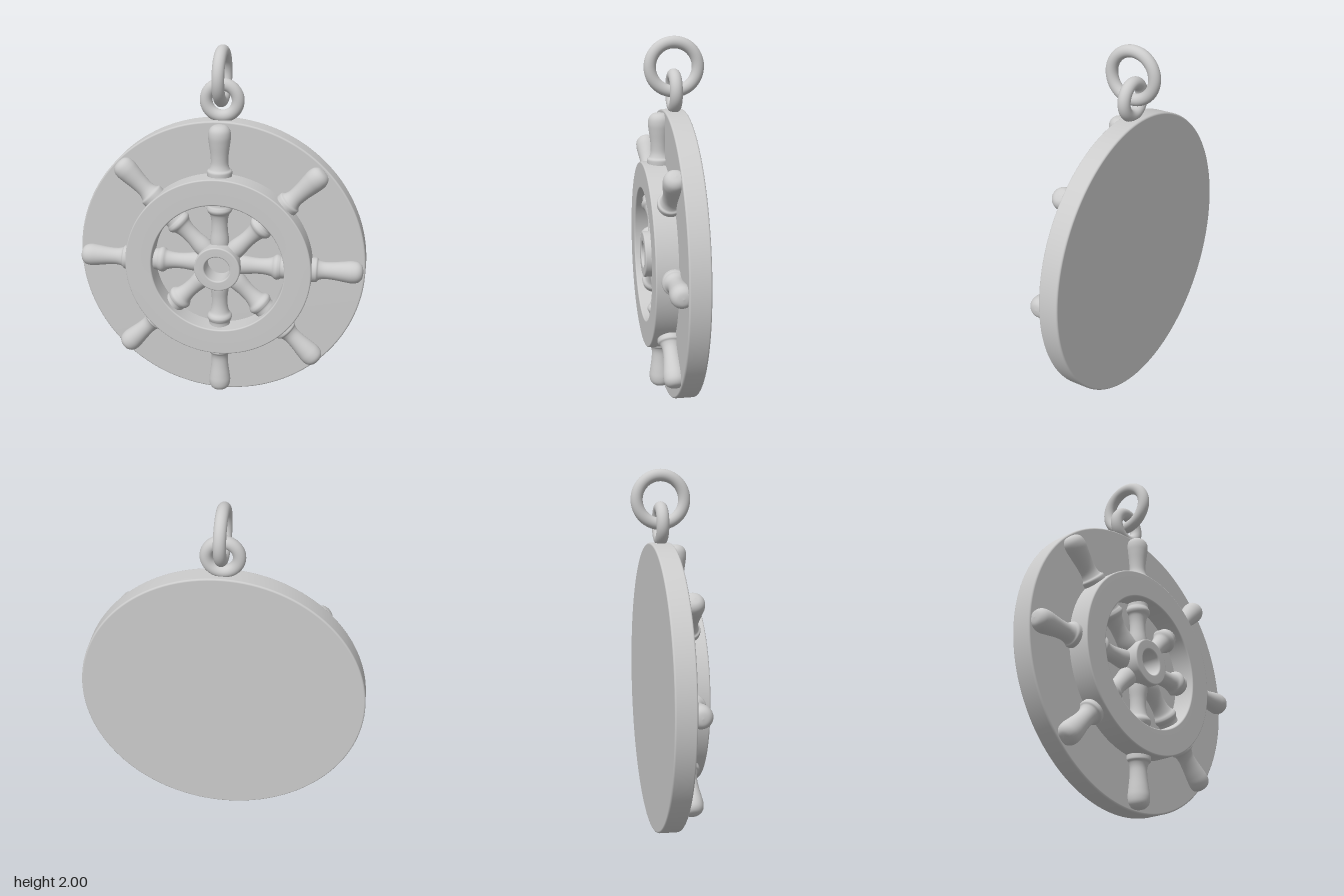
import * as THREE from 'three';

const CY = 0.805;      // wheel centre height
const SPOKE_Z = 0.076; // depth of spoke and handle axes
const material = new THREE.MeshStandardMaterial({ color: 0xcccccc });

function add(parent, name, geometry) {
  const mesh = new THREE.Mesh(geometry, material);
  mesh.name = name;
  parent.add(mesh);
  return mesh;
}

// Rounded corner of a lathe profile, centred on (r, z), starting at angle a
function corner(r, z, a, bevel) {
  return Array.from({ length: 5 }, (_, i) => {
    const t = a + (i / 4) * Math.PI / 2;
    return new THREE.Vector2(r + bevel * Math.cos(t), z + bevel * Math.sin(t));
  });
}

// Disc (inner = 0) or ring with softened edges, turned about the z axis
function turned(inner, outer, z0, z1, bevel) {
  const b = bevel;
  const points = [
    ...corner(outer - b, z0 + b, -Math.PI / 2, b),
    ...corner(outer - b, z1 - b, 0, b),
  ];
  if (inner > 0) {
    points.push(
      ...corner(inner + b, z1 - b, Math.PI / 2, b),
      ...corner(inner + b, z0 + b, Math.PI, b),
      points[0].clone());
  } else {
    points.unshift(new THREE.Vector2(0, z0));
    points.push(new THREE.Vector2(0, z1));
  }
  return new THREE.LatheGeometry(points, 128).rotateX(Math.PI / 2);
}

// Smooth turned shape from [radius, distance from wheel centre] pairs
function spindle(pairs) {
  const curve = new THREE.SplineCurve(pairs.map(([r, y]) => new THREE.Vector2(r, y)));
  const points = curve.getPoints(48);
  points.forEach((p) => { p.x = Math.max(p.x, 0); });
  return new THREE.LatheGeometry(points, 32);
}

export function createModel() {
  const model = new THREE.Group();
  model.name = 'shipWheelPendant';

  const wheel = new THREE.Group();
  wheel.name = 'wheel';
  wheel.position.y = CY;
  model.add(wheel);

  add(wheel, 'backDisc', turned(0, 0.8, -0.063, 0.052, 0.01));
  add(wheel, 'rim', turned(0.368, 0.515, 0.03, 0.172, 0.008));
  add(wheel, 'hub', turned(0.071, 0.127, 0.03, 0.172, 0.008));

  // Eight spokes with flared collars, each continued by a handle outside the rim
  const spokeShape = spindle([
    [0.052, 0.09], [0.052, 0.14], [0.045, 0.2], [0.045, 0.25], [0.053, 0.29],
    [0.066, 0.309], [0.07, 0.322], [0.066, 0.336], [0.06, 0.35], [0.06, 0.39],
  ]);
  const handleShape = spindle([
    [0.066, 0.49], [0.068, 0.525], [0.066, 0.539], [0.055, 0.55], [0.047, 0.58],
    [0.049, 0.63], [0.057, 0.69], [0.061, 0.73], [0.055, 0.763], [0.034, 0.784], [0, 0.79],
  ]);
  for (let i = 0; i < 8; i++) {
    const arm = new THREE.Group();
    arm.name = 'arm' + (i + 1);
    arm.position.z = SPOKE_Z;
    arm.rotation.z = (i * Math.PI) / 4;
    add(arm, 'spoke', spokeShape);
    add(arm, 'handle', handleShape);
    wheel.add(arm);
  }

  // Fixed loop on the disc and the hanging ring linked through it
  add(model, 'loop', new THREE.TorusGeometry(0.086, 0.034, 24, 64)).position.set(0, 1.708, -0.004);
  const ring = add(model, 'hangingRing', new THREE.TorusGeometry(0.13, 0.033, 24, 64));
  ring.position.set(0, 1.837, -0.004);
  ring.rotation.y = Math.PI / 2;

  return model;
}
